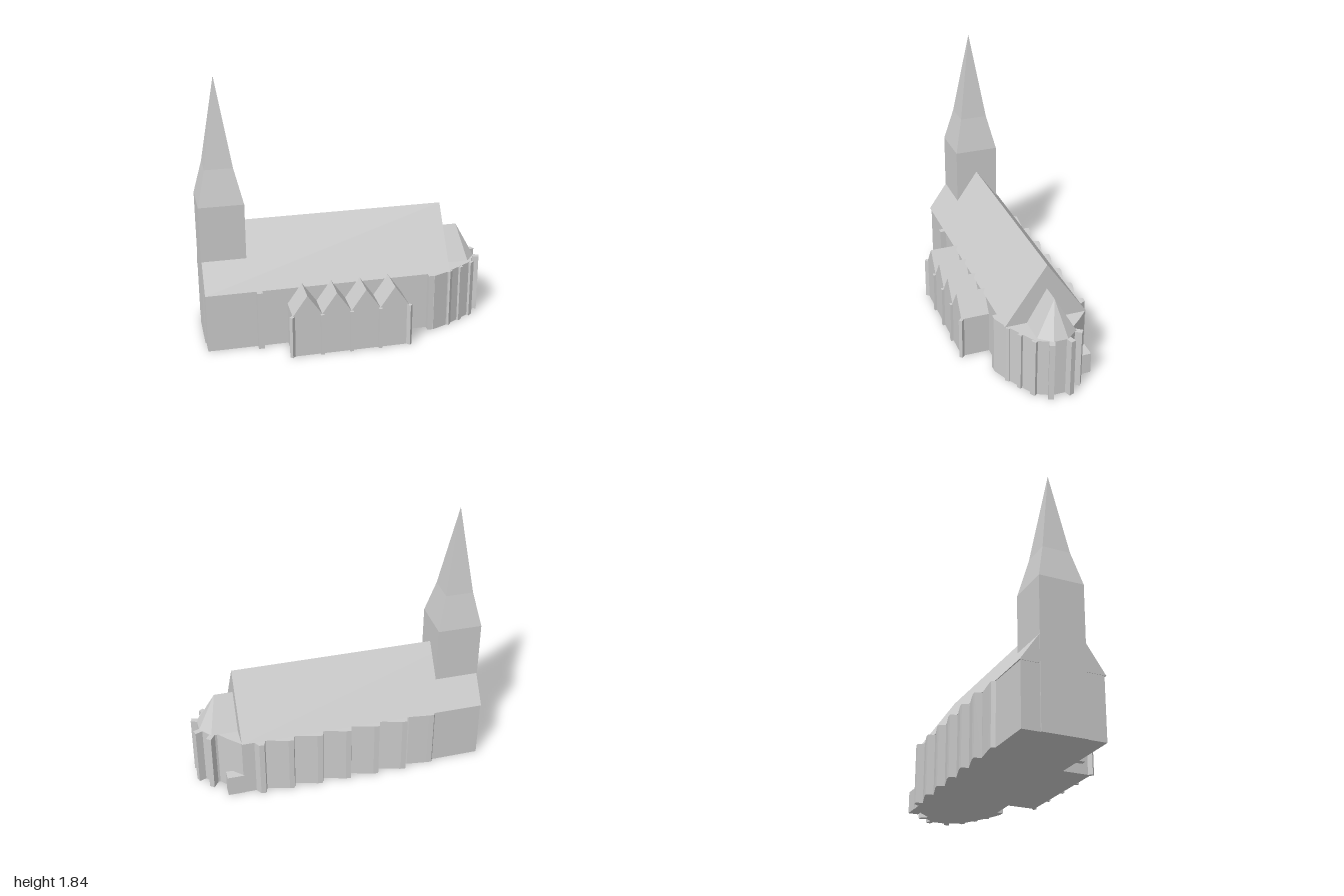
import * as THREE from 'three';

const material = new THREE.MeshStandardMaterial({ color: 0xcccccc, flatShading: true });
const EAVE = 0.42, AXIS = -0.078; // eave height, z of the church's long axis

export function createModel() {
  const church = new THREE.Group();
  church.name = 'church';

  const add = (name, geometry, x = 0, y = 0, z = 0, turn = 0) => {
    const mesh = new THREE.Mesh(geometry, material);
    mesh.name = name;
    mesh.position.set(x, y, z);
    mesh.rotation.y = turn;
    church.add(mesh);
    return mesh;
  };
  const shapeOf = (points) => new THREE.Shape(points.map(([a, b]) => new THREE.Vector2(a, b)));
  const extrude = (points, depth) =>
    new THREE.ExtrudeGeometry(shapeOf(points), { depth, bevelEnabled: false });
  // Upright block from a floor plan of [x, z] corners
  const block = (plan, height) =>
    extrude(plan.map(([x, z]) => [x, -z]), height).rotateX(-Math.PI / 2);
  const pier = (name, x, z, width, depth, height, turn = 0) =>
    add(name, new THREE.BoxGeometry(width, height, depth), x, height / 2, z, turn);

  // Nave walls, the north side stepping out at each buttress
  const plan = [[-0.97, 0.195], [-0.97, -0.352]];
  for (let i = 0; i < 7; i++) {
    const x = -0.62 + 0.2 * i;
    const out = i === 0 ? -0.38 : -0.402;
    plan.push([x - 0.015, -0.355], [x, out], [x + 0.035, out + 0.003]);
    plan.push([x + (i === 6 ? 0.06 : 0.175), -0.358]);
  }
  plan.push([0.72, -0.358], [0.72, 0.195]);
  add('naveWalls', block(plan, EAVE));

  // Nave roof: a triangular prism along x
  const roof = extrude([[-0.206, EAVE], [0.077, 0.83], [0.36, EAVE]], 1.697);
  add('naveRoof', roof.rotateY(Math.PI / 2), -0.973);

  // South wall buttresses
  for (const x of [-0.61, 0.585]) pier('southButtress', x, 0.205, 0.04, 0.065, EAVE - 0.002);
  add('southEastWall', block([[0.57, 0.19], [0.605, 0.24], [0.725, 0.19]], EAVE - 0.002));

  // Tower and broached spire
  const towerX = -0.825;
  add('tower', new THREE.BoxGeometry(0.304, 1, 0.304), towerX, 0.5, AXIS);
  const taper = (top, bottom, height) => new THREE.CylinderGeometry(
    top * Math.SQRT2, bottom * Math.SQRT2, height, 4, 1, true, Math.PI / 4);
  add('spireSkirt', taper(0.095, 0.152, 0.24), towerX, 1.12, AXIS);
  add('spire', taper(0, 0.095, 0.6), towerX, 1.54, AXIS);

  // South chapels: a row of four gables with piers between them
  const gables = [[0.38, 0], [0.38, 0.3]];
  for (let i = 0; i < 4; i++) gables.push([0.28 - 0.2 * i, 0.445], [0.18 - 0.2 * i, 0.3]);
  gables.push([-0.42, 0]);
  add('southChapels', extrude(gables, 0.24), 0, 0, 0.15);
  for (let i = 0; i < 5; i++) {
    const turn = i === 0 ? -Math.PI / 4 : i === 4 ? Math.PI / 4 : 0;
    pier('chapelPier', -0.42 + 0.2 * i, 0.388, 0.024, 0.04, 0.3, turn);
  }

  // Chancel walls, spreading from the nave corners to the apse
  const ring = [[0.7, -0.134], [0.905, -0.134], [0.975, -0.05],
    [0.975, 0.05], [0.905, 0.134], [0.7, 0.134]].map(([x, z]) => [x, z + AXIS]);
  add('chancelWalls', block([[0.7, 0.195], [0.725, 0.19], [0.925, 0.075], ring[3], ring[2],
    ring[1], [0.866, -0.205], [0.8, -0.28], [0.725, -0.352], [0.7, -0.352]], EAVE));
  pier('lowPorch', 0.775, -0.325, 0.12, 0.07, 0.15);

  // Apse buttresses at the corners, mirrored about the axis
  for (const side of [-1, 1]) {
    for (const [x, z, angle] of [[0.913, 0.144, 0.95], [0.983, 0.062, 0.35]]) {
      pier('apseButtress', x, AXIS + side * z, 0.06, 0.036, EAVE - 0.001, -side * angle);
    }
  }
  pier('cornerButtress', 0.727, 0.18, 0.04, 0.03, EAVE - 0.001, -0.8);
  pier('chancelButtress', 0.825, 0.135, 0.03, 0.03, EAVE - 0.001, -1.05);

  // Chancel roof: a ridge ending in a faceted apse
  const corners = ring.map(([x, z]) => [x, EAVE, z]);
  const ridge = [0.7, 0.655, AXIS], apex = [0.851, 0.655, AXIS];
  const faces = [corners[0], ridge, apex, corners[5], apex, ridge];
  for (let i = 0; i < 5; i++) faces.push(corners[i], apex, corners[i + 1]);
  const chancelRoof = new THREE.BufferGeometry();
  chancelRoof.setAttribute('position', new THREE.Float32BufferAttribute(faces.flat(), 3));
  chancelRoof.computeVertexNormals();
  add('chancelRoof', chancelRoof);

  // The whole church stands slightly turned
  church.rotation.y = 0.068;
  const model = new THREE.Group();
  model.name = 'churchModel';
  model.add(church);
  return model;
}
